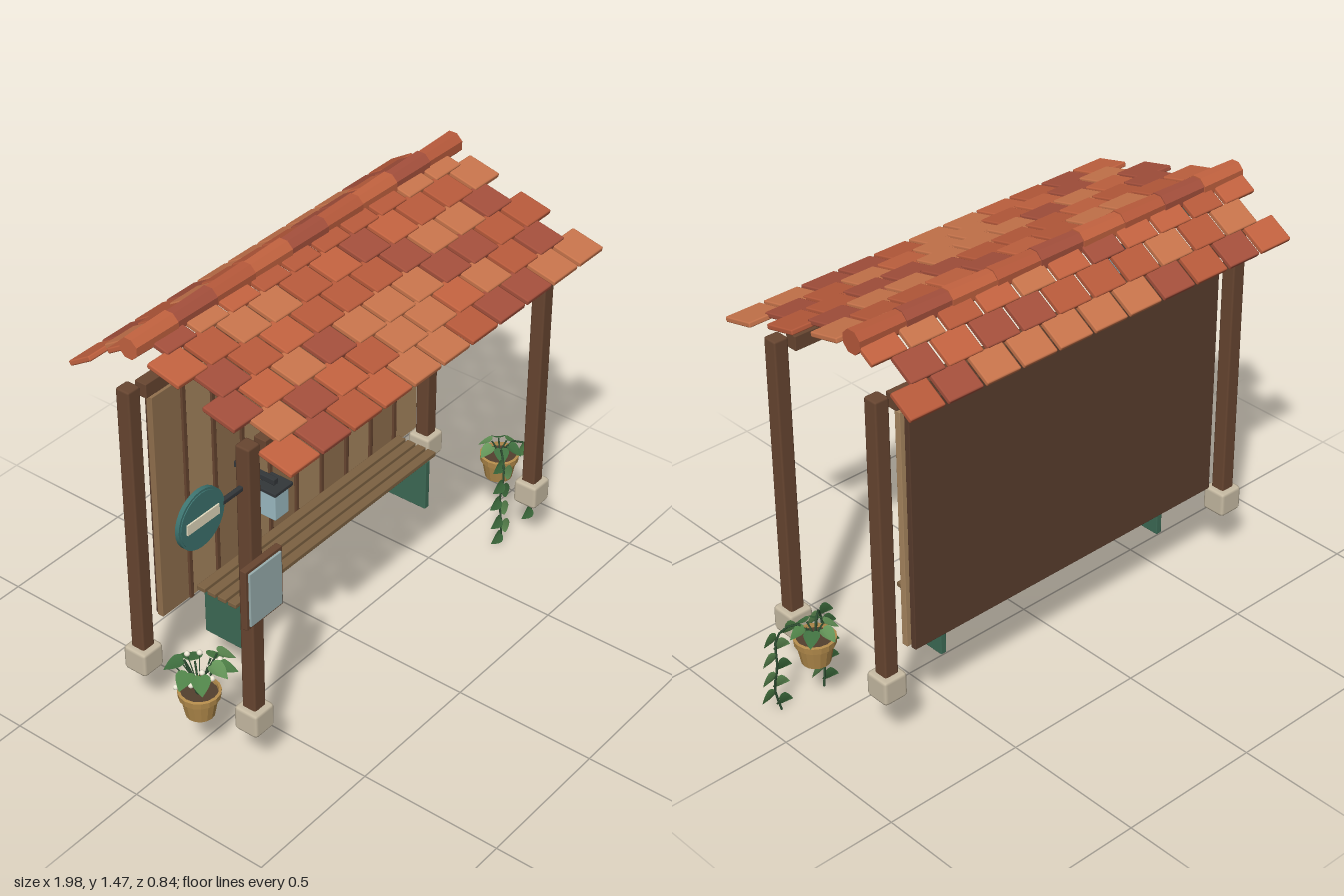
import * as THREE from 'three';
import { RoundedBoxGeometry } from 'three/addons/geometries/RoundedBoxGeometry.js';

const mat = (color, opts = {}) => new THREE.MeshStandardMaterial({ color, ...opts });
const M = {
  wood: mat(0x684631), backing: mat(0x5a3d2d), plankDark: mat(0x92714e), plankLight: mat(0xa98760),
  seat: mat(0x7d6242), stone: mat(0xc8bca4), green: mat(0x3d6b56), teal: mat(0x3d7470), cream: mat(0xe4dcc0),
  metal: mat(0x33373a), glass: mat(0x9dbcc4), pane: mat(0x9ab0b0), pot: mat(0xb48c4c), soil: mat(0x54402f),
  stem: mat(0x2f4f33), flower: mat(0xf0ead8),
  leaves: [0x4f8248, 0x3f6f3f, 0x659659].map(c => mat(c, { side: THREE.DoubleSide })),
  tiles: [0xc46340, 0xb85a3b, 0xc9754c, 0xa5503c].map(c => mat(c)),
  ridge: [0xc46340, 0xb85a3b, 0xa5503c].map(c => mat(c, { flatShading: true })),
};
const CX = 0.0375; // shelter centre line
let seed = 7;
const rnd = () => (seed = (seed * 16807) % 2147483647) / 2147483647;
const pick = list => list[Math.floor(rnd() * list.length)];
const V = (x, y, z) => new THREE.Vector3(x, y, z);

function add(parent, name, geo, material, x = 0, y = 0, z = 0) {
  const m = new THREE.Mesh(geo, material);
  m.name = name;
  m.position.set(x, y, z);
  parent.add(m);
  return m;
}
function group(parent, name) {
  const g = new THREE.Group();
  g.name = name;
  parent.add(g);
  return g;
}
const rbox = (w, h, d, r = 0.004) => new RoundedBoxGeometry(w, h, d, 1, r);
// box given by its limits on each axis
const span = (p, name, material, [x0, x1], [y0, y1], [z0, z1], r = 0.003) =>
  add(p, name, rbox(x1 - x0, y1 - y0, z1 - z0, r), material, (x0 + x1) / 2, (y0 + y1) / 2, (z0 + z1) / 2);

// heart-shaped leaf, unit length along +y, folded on its midrib and drooping at the tip
function makeLeaf() {
  const s = new THREE.Shape();
  s.moveTo(0, 0.06);
  s.bezierCurveTo(0.25, -0.12, 0.62, 0.2, 0.34, 0.58);
  s.quadraticCurveTo(0.2, 0.8, 0, 1);
  s.quadraticCurveTo(-0.2, 0.8, -0.34, 0.58);
  s.bezierCurveTo(-0.62, 0.2, -0.25, -0.12, 0, 0.06);
  const g = new THREE.ShapeGeometry(s, 5);
  const p = g.attributes.position;
  for (let i = 0; i < p.count; i++) p.setZ(i, Math.abs(p.getX(i)) * 0.25 - p.getY(i) ** 2 * 0.15);
  g.computeVertexNormals();
  return g;
}
const leafGeo = makeLeaf();
function leaf(parent, pos, dir, normal, size) {
  const y = dir.clone().normalize();
  const x = y.clone().cross(normal).normalize();
  const m = add(parent, 'leaf', leafGeo, pick(M.leaves), pos.x, pos.y, pos.z);
  m.quaternion.setFromRotationMatrix(new THREE.Matrix4().makeBasis(x, y, x.clone().cross(y)));
  m.scale.setScalar(size);
}
const tube = (p, name, pts, r) =>
  add(p, name, new THREE.TubeGeometry(new THREE.CatmullRomCurve3(pts), 12, r, 5), M.stem);

function pot(parent, name, x, z) {
  const g = group(parent, name);
  g.position.set(x, 0.2, z);
  const profile = [[0, 0], [0.047, 0], [0.06, 0.068], [0.067, 0.07], [0.069, 0.092], [0.06, 0.094], [0.058, 0.08]];
  add(g, 'pot', new THREE.LatheGeometry(profile.map(q => new THREE.Vector2(...q)), 16),
    mat(0xb48c4c, { flatShading: true, side: THREE.DoubleSide }));
  add(g, 'soil', new THREE.CylinderGeometry(0.059, 0.059, 0.01, 16), M.soil, 0, 0.078, 0);
  return g;
}

// one course of roof tiles: lower edge at (y, z), side +1 slopes to the front, -1 to the back
function tileRow(parent, count, y, z, length, angle, side) {
  const geo = rbox(0.129, 0.018, length, 0.005);
  for (let i = 0; i < count; i++) {
    const m = add(parent, 'roofTile', geo, pick(M.tiles), CX + (i - (count - 1) / 2) * 0.1424,
      y + Math.sin(angle) * length / 2, z - side * Math.cos(angle) * length / 2);
    m.rotation.x = side * angle;
  }
}

export function createModel() {
  const root = new THREE.Group();
  root.name = 'busShelter';

  // posts on stone feet, and a beam between each pair
  const frame = group(root, 'frame');
  for (const z of [0.227, -0.227]) {
    for (const x of [-0.7, 0.775]) {
      add(frame, 'post', rbox(0.052, 0.99, 0.052, 0.007), M.wood, x, 0.768, z);
      add(frame, 'postFoot', rbox(0.09, 0.09, 0.09, 0.012), M.stone, x, 0.245, z);
    }
    span(frame, 'beam', M.wood, [-0.647, 0.722], [1.2, 1.25], [z - 0.022, z + 0.022]);
  }

  // back wall of planks with battens on a solid backing
  const wall = group(root, 'backWall');
  span(wall, 'backing', M.backing, [-0.6, 0.685], [0.34, 1.192], [-0.258, -0.236]);
  const x0 = -0.615, pitch = 0.1316;
  for (let i = 0; i < 10; i++) {
    const x = x0 + i * pitch;
    span(wall, 'plank', i % 2 ? M.plankLight : M.plankDark, [x, x + pitch], [0.35, 1.182], [-0.238, -0.215], 0.002);
    if (i) span(wall, 'batten', M.wood, [x - 0.008, x + 0.008], [0.35, 1.182], [-0.22, -0.207], 0.002);
  }

  // bench: slatted seat on two side panels
  const bench = group(root, 'bench');
  for (const x of [-0.437, 0.515]) span(bench, 'benchLeg', M.green, [x - 0.011, x + 0.011], [0.2, 0.395], [-0.19, -0.025]);
  for (let i = 0; i < 4; i++) {
    const z = -0.043 - i * 0.0425;
    span(bench, 'seatSlat', M.seat, [-0.485, 0.56], [0.393, 0.41], [z - 0.017, z + 0.017]);
  }

  // roof: six courses at the front, three at the back, ridge on top
  const roof = group(root, 'roof');
  for (let i = 0; i < 6; i++) tileRow(roof, 11 - (i % 2), 1.256 + i * 0.0306, 0.418 - i * 0.102, 0.122, 0.235, 1);
  for (let i = 0; i < 3; i++) tileRow(roof, 11 - (i % 2), 1.283 + i * 0.054, -0.42 + i * 0.079, 0.1, 0.55, -1);
  for (let i = 0; i < 9; i++) {
    const m = add(roof, 'ridgeTile', new THREE.CylinderGeometry(0.036, 0.04, 0.176, 8), M.ridge[(i * 2) % 3],
      -0.651 + i * 0.1724, 1.435, -0.178);
    m.rotation.set(0, 0, Math.PI / 2);
    m.rotateY(Math.PI / 8);
  }

  // round stop sign on a short arm
  const sign = group(root, 'stopSign');
  sign.position.set(-0.903, 1.12, 0.222);
  const disc = (name, r, d, m, z) => { add(sign, name, new THREE.CylinderGeometry(r, r, d, 28), m, 0, 0, z).rotation.x = Math.PI / 2; };
  disc('signRim', 0.097, 0.014, M.teal, 0);
  disc('signFace', 0.09, 0.018, M.teal, 0.001);
  add(sign, 'signStripe', new THREE.BoxGeometry(0.135, 0.034, 0.006), M.cream, 0, 0, 0.012);
  add(sign, 'signArm', rbox(0.12, 0.016, 0.016), M.metal, 0.14, 0, 0);

  // framed notice board on the front post
  const board = group(root, 'noticeBoard');
  span(board, 'boardFrame', M.wood, [-0.78, -0.614], [0.655, 0.873], [0.253, 0.277]);
  span(board, 'boardPane', M.pane, [-0.769, -0.625], [0.667, 0.862], [0.272, 0.284], 0.002);

  // hanging lantern
  const lamp = group(root, 'lantern');
  span(lamp, 'lampArm', M.metal, [-0.603, -0.583], [1.064, 1.084], [0.087, 0.24]);
  span(lamp, 'lampCap', M.metal, [-0.632, -0.55], [1.05, 1.063], [0.187, 0.269]);
  span(lamp, 'lampGlass', M.glass, [-0.622, -0.56], [0.957, 1.052], [0.197, 0.259]);

  // flowering plant
  const plantA = pot(root, 'floweringPlant', -0.755, 0.055);
  for (let i = 0; i < 9; i++) {
    const a = i * 2.4 + 0.5, r = 0.035 + 0.03 * rnd(), h = 0.17 + 0.055 * rnd();
    const out = V(Math.cos(a), 0, Math.sin(a));
    const tip = V(out.x * r, h, out.z * r);
    tube(plantA, 'stem', [V(out.x * 0.01, 0.08, out.z * 0.01), V(out.x * r * 0.45, h * 0.7, out.z * r * 0.45), tip], 0.0035);
    leaf(plantA, tip, V(out.x, -0.15 - 0.35 * rnd(), out.z), V(out.x * 0.3, 1, out.z * 0.3), 0.07);
  }
  for (let i = 0; i < 12; i++) {
    const a = i * 2.4, r = 0.03 + 0.055 * rnd();
    const p = V(Math.cos(a) * r - 0.01, 0.15 + 0.045 * rnd(), Math.sin(a) * r);
    tube(plantA, 'flowerStem', [V(0, 0.08, 0), V(p.x * 0.4, 0.13, p.z * 0.4), p], 0.002);
    add(plantA, 'flower', new THREE.IcosahedronGeometry(0.0095, 1), M.flower, p.x, p.y, p.z);
  }

  // trailing plant with two vines hanging below the pot
  const plantB = pot(root, 'trailingPlant', 0.825, 0.055);
  for (const s of [-1, 1]) {
    const pts = [V(0, 0.08, 0), V(s * 0.04, 0.14, 0.035), V(s * 0.085, 0.09, 0.08),
      V(s * 0.095, -0.02, 0.075), V(s * 0.1, -0.11, 0.088), V(s * 0.085, -0.195, 0.08)];
    tube(plantB, 'vine', pts, 0.004);
    const curve = new THREE.CatmullRomCurve3(pts);
    for (let i = 0; i < 9; i++) {
      const side = i % 2 ? 1 : -1;
      leaf(plantB, curve.getPointAt(0.28 + i * 0.08), V(side, -0.3, 0.1), V(0, 0.25, 1), 0.058);
    }
  }
  for (let i = 0; i < 6; i++) {
    const a = i * 1.05 + 0.3, c = Math.cos(a), d = Math.sin(a);
    const tip = V(c * 0.03, 0.135, d * 0.03);
    tube(plantB, 'stem', [V(0, 0.08, 0), V(c * 0.012, 0.11, d * 0.012), tip], 0.003);
    leaf(plantB, tip, V(c, -0.45, d), V(c * 0.4, 1, d * 0.4), 0.06);
  }
  return root;
}
